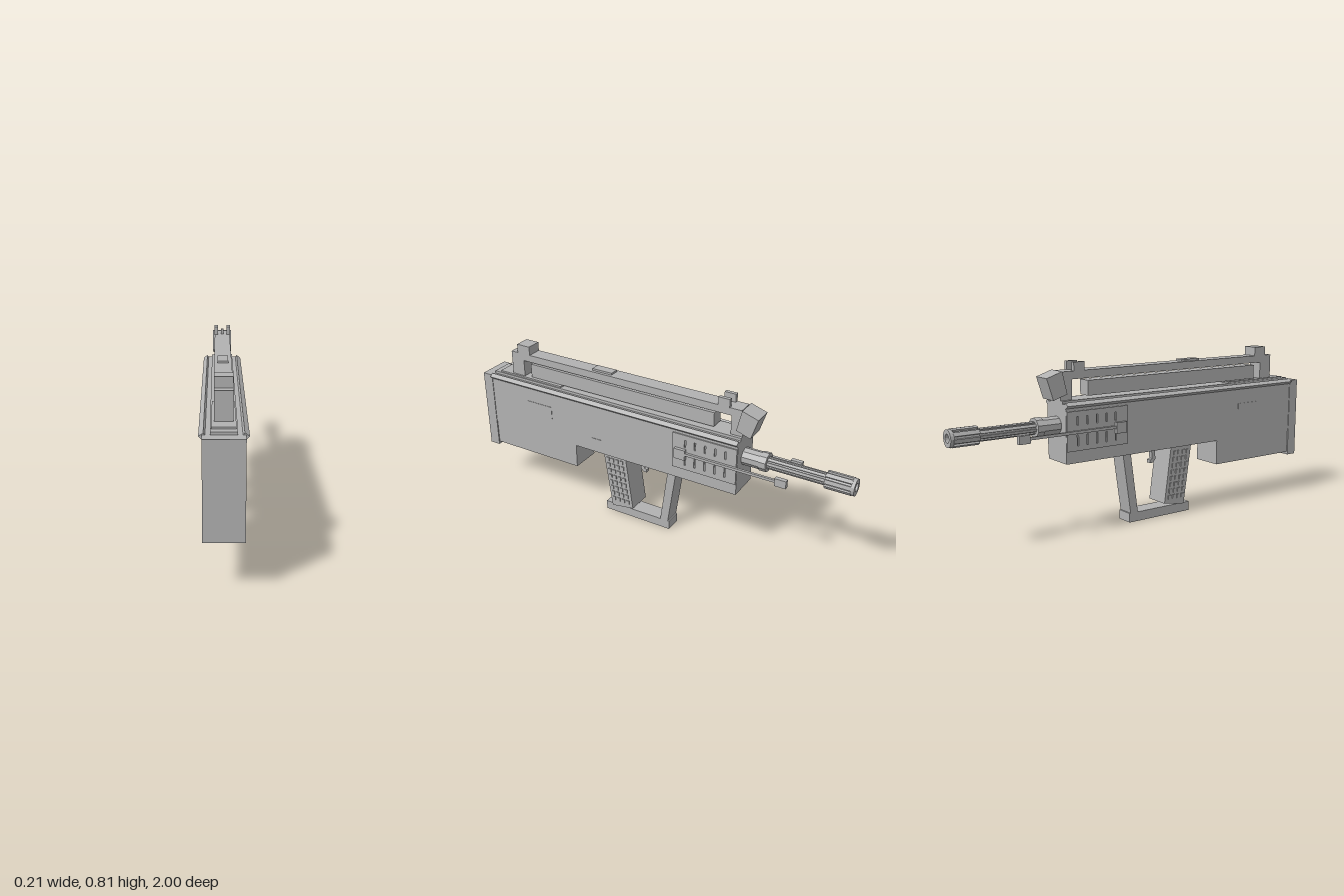
import * as THREE from 'three';

export function createModel() {
  const model = new THREE.Group();
  const grey = new THREE.MeshStandardMaterial({ color: 0xb2b2b2, flatShading: true });
  grey.name = 'plain grey';

  const add = (name, geometry) => {
    const mesh = new THREE.Mesh(geometry, grey);
    mesh.name = name;
    model.add(mesh);
    return mesh;
  };
  // Box from its limits on each axis
  const box = (name, x0, x1, y0, y1, z0, z1) => {
    const g = new THREE.BoxGeometry(x1 - x0, y1 - y0, z1 - z0);
    g.translate((x0 + x1) / 2, (y0 + y1) / 2, (z0 + z1) / 2);
    return add(name, g);
  };
  const mid = (name, halfWidth, ...rest) => box(name, -halfWidth, halfWidth, ...rest);
  const both = (name, x0, x1, ...rest) => {
    box(name + 'Left', x0, x1, ...rest);
    box(name + 'Right', -x1, -x0, ...rest);
  };
  const outline = (pts) => new THREE.Shape(pts.map((p) => new THREE.Vector2(p[0], p[1])));
  const extrude = (shape, depth) =>
    new THREE.ExtrudeGeometry(shape, { depth, bevelEnabled: false, curveSegments: 8 });
  // Side profile given as [z, y], extruded across the width
  const profile = (name, pts, halfWidth) => {
    const g = extrude(outline(pts.map(([z, y]) => [-z, y])), halfWidth * 2);
    g.rotateY(Math.PI / 2);
    g.translate(-halfWidth, 0, 0);
    return add(name, g);
  };

  // Main body, magazine housing and butt plate
  mid('receiver', 0.08, 0.35, 0.622, -0.47, 0.945);
  mid('magazineHousing', 0.077, 0.225, 0.351, 0.43, 0.946);
  mid('buttPlate', 0.083, 0.21, 0.622, 0.945, 1);
  mid('topDeck', 0.053, 0.62, 0.635, -0.47, 0.945);
  mid('rearDeckPlate', 0.048, 0.634, 0.643, 0.53, 0.91);

  // Bevelled rails along both upper edges
  for (const s of [1, -1]) {
    const pts = [[0.068, 0.618], [0.078, 0.606], [0.083, 0.604], [0.097, 0.617], [0.078, 0.631]];
    const g = extrude(outline(pts.map(([x, y]) => [s * x, y])), 1.415);
    g.translate(0, 0, -0.47);
    add(s > 0 ? 'edgeRailLeft' : 'edgeRailRight', g);
  }

  // Vented side panels near the front
  const panel = outline([[0.137, 0.407], [0.468, 0.407], [0.468, 0.59], [0.137, 0.59]]);
  for (let i = 0; i < 5; i++) {
    const z = 0.2 + i * 0.052;
    for (const [a, b] of [[0.43, 0.48], [0.525, 0.565]]) {
      panel.holes.push(new THREE.Path([[z, a], [z, b], [z + 0.008, b], [z + 0.008, a]]
        .map((p) => new THREE.Vector2(...p))));
    }
  }
  for (const x of [0.079, -0.086]) {
    const g = extrude(panel, 0.007);
    g.rotateY(Math.PI / 2);
    g.translate(x, 0, 0);
    add(x > 0 ? 'ventPanelLeft' : 'ventPanelRight', g);
  }
  both('accessPlate', 0.079, 0.082, 0.465, 0.53, 0.57, 0.72);
  box('selectorPlate', 0.079, 0.082, 0.4, 0.425, 0.27, 0.33);

  // Sliding rods on each side
  both('rodSlider', 0.083, 0.102, 0.465, 0.517, -0.21, -0.152);
  both('sideRod', 0.086, 0.098, 0.488, 0.501, -0.67, -0.2);
  both('rodTip', 0.082, 0.103, 0.475, 0.513, -0.717, -0.662);

  // Carrying handle with its mounts and sights
  mid('handleBar', 0.038, 0.728, 0.765, -0.46, 0.835);
  mid('handleCore', 0.033, 0.645, 0.716, -0.322, 0.72);
  mid('handleRearMount', 0.038, 0.634, 0.73, 0.76, 0.835);
  mid('handleFrontMount', 0.038, 0.634, 0.73, -0.47, -0.41);
  mid('rearSight', 0.038, 0.764, 0.81, 0.72, 0.795);
  both('frontSightEar', 0.022, 0.04, 0.764, 0.805, -0.4, -0.343);
  mid('frontSightPost', 0.006, 0.764, 0.79, -0.38, -0.365);
  mid('handlePad', 0.023, 0.764, 0.775, 0.237, 0.347);
  profile('frontSightHood', [[-0.465, 0.768], [-0.545, 0.742], [-0.512, 0.64], [-0.44, 0.664]], 0.047);

  // Barrel, with the axis along z
  const barrelY = 0.52;
  const rod = (name, r, z0, z1, sides) => {
    const g = new THREE.CylinderGeometry(r, r, z1 - z0, sides);
    g.rotateX(Math.PI / 2);
    g.translate(0, barrelY, (z0 + z1) / 2);
    return add(name, g);
  };
  rod('barrelCollar', 0.042, -0.585, -0.47, 10);
  rod('barrelRing', 0.046, -0.59, -0.555, 10);
  // Fluted ring section
  const fluted = (name, rOut, rIn, bore, flutes, z0, z1) => {
    const pts = [];
    for (let i = 0; i < flutes; i++) {
      for (const [f, r] of [[0, rOut], [0.58, rOut], [0.62, rIn], [0.96, rIn]]) {
        const a = ((i + f) / flutes) * Math.PI * 2;
        pts.push([Math.cos(a) * r, Math.sin(a) * r]);
      }
    }
    const shape = outline(pts);
    if (bore) shape.holes.push(new THREE.Path().absarc(0, 0, bore, 0, Math.PI * 2, true));
    const g = extrude(shape, z1 - z0);
    g.translate(0, barrelY, z0);
    return add(name, g);
  };
  fluted('barrel', 0.03, 0.024, 0, 8, -0.87, -0.58);
  fluted('muzzleBrake', 0.042, 0.033, 0.02, 8, -0.985, -0.865);
  const crown = new THREE.Shape().absarc(0, 0, 0.04, 0, Math.PI * 2, false);
  crown.holes.push(new THREE.Path().absarc(0, 0, 0.02, 0, Math.PI * 2, true));
  add('muzzleCrown', extrude(crown, 0.017)).position.set(0, barrelY, -1);

  // Grip, hand guard and trigger
  profile('grip', [[0.27, 0.351], [0.225, 0.048], [0.103, 0.066], [0.142, 0.351]], 0.063);
  for (let row = 0; row < 8; row++) {
    const y = 0.095 + row * 0.032;
    for (let col = 0; col < 4; col++) {
      const z = 0.13 + (y - 0.08) * 0.145 + col * 0.027;
      both('gripStud', 0.062, 0.068, y - 0.01, y + 0.01, z - 0.008, z + 0.008);
    }
  }
  mid('guardBase', 0.043, 0, 0.046, -0.097, 0.275);
  profile('guardFront', [[-0.09, 0.351], [-0.047, 0.045], [-0.09, 0.045], [-0.135, 0.351]], 0.043);
  profile('trigger', [[0.078, 0.351], [0.084, 0.29], [0.07, 0.272], [0.05, 0.272], [0.05, 0.288],
    [0.064, 0.293], [0.058, 0.351]], 0.012);

  return model;
}
